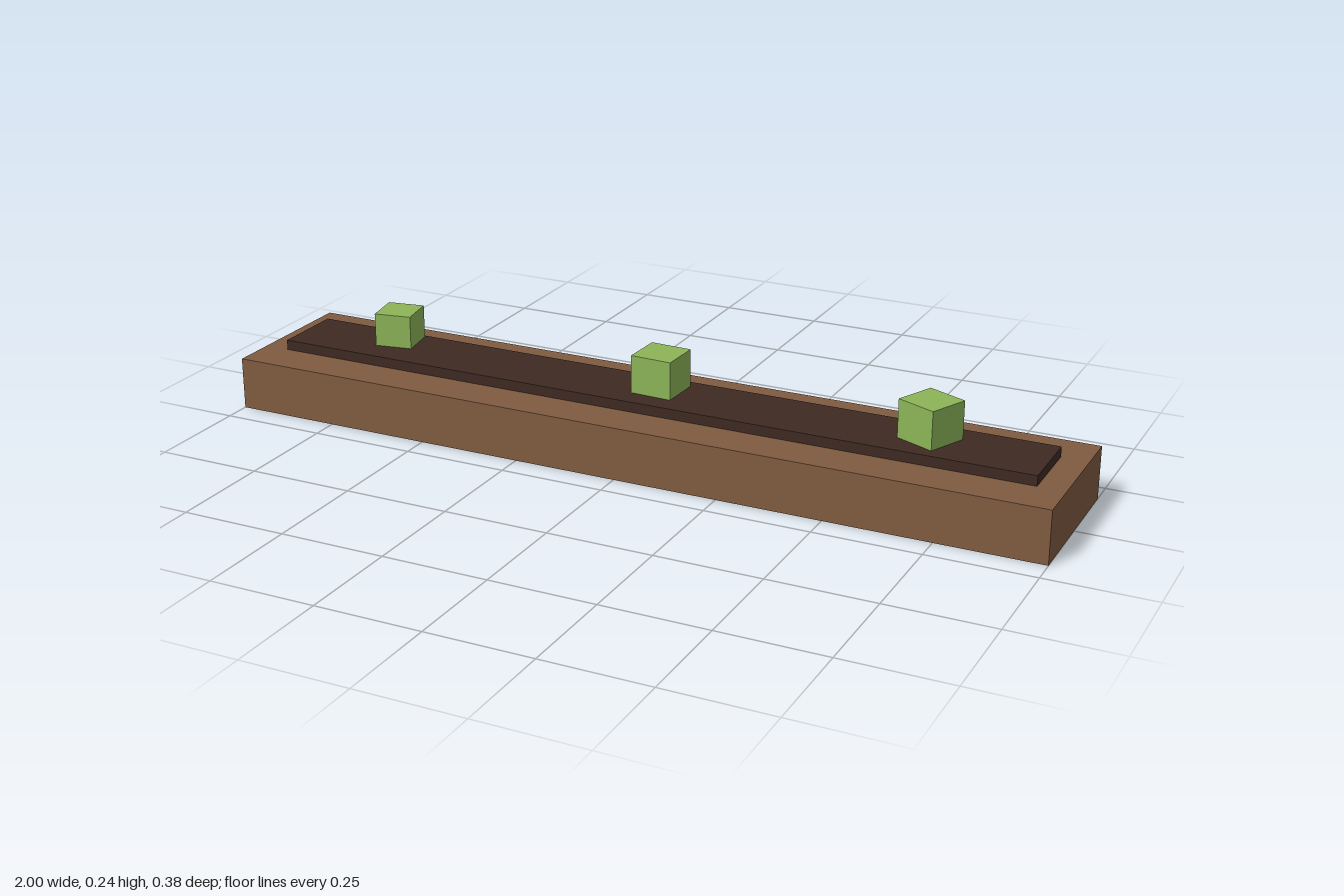
import * as THREE from 'three';

function material(name, color, side = THREE.FrontSide) {
  const m = new THREE.MeshStandardMaterial({ color, side });
  m.name = name;
  return m;
}

function addMesh(parent, name, geometry, mat, x, y, z) {
  const mesh = new THREE.Mesh(geometry, mat);
  mesh.name = name;
  mesh.position.set(x, y, z);
  parent.add(mesh);
  return mesh;
}

// Box without its bottom face
function openBottomBox(w, h, d) {
  const g = new THREE.BoxGeometry(w, h, d);
  const index = Array.from(g.index.array);
  index.splice(18, 6); // the -y face
  g.setIndex(index);
  g.clearGroups();
  return g;
}

export function createModel() {
  const model = new THREE.Group();
  model.name = 'planter';

  const wood = material('wood brown', 0x805b40, THREE.DoubleSide);
  const earth = material('earth brown', 0x3e2a22);
  const leaf = material('leaf green', 0x8cb457);

  // Trough, hollow from below
  addMesh(model, 'trough', openBottomBox(2, 0.125, 0.375), wood, 0, 0.0625, 0);

  // Soil slab raised above the trough
  addMesh(model, 'soil', new THREE.BoxGeometry(1.875, 0.024, 0.175), earth, 0, 0.138, 0);

  // Three plants, each turned a little, with their feet in the soil
  const plants = [
    { name: 'rightPlant', x: -0.687, z: -0.029, size: 0.09, turn: 10 },
    { name: 'middlePlant', x: 0.02, z: -0.014, size: 0.1, turn: -2.4 },
    { name: 'leftPlant', x: 0.669, z: -0.007, size: 0.1, turn: -23.7 },
  ];
  for (const { name, x, z, size, turn } of plants) {
    const cube = new THREE.BoxGeometry(size, size, size);
    const plant = addMesh(model, name, cube, leaf, x, 0.14 + size / 2, z);
    plant.rotation.y = THREE.MathUtils.degToRad(turn);
  }

  return model;
}
